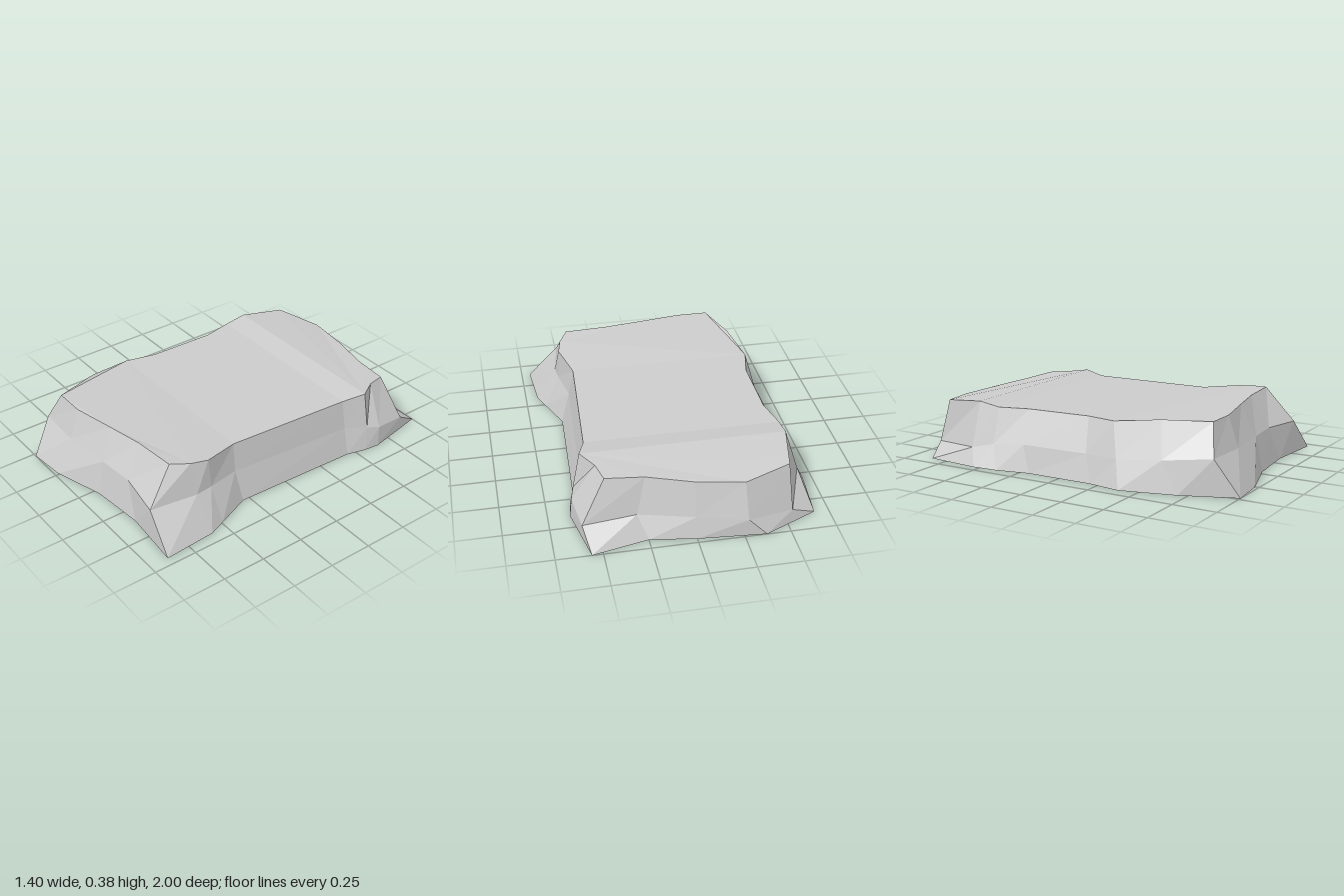
import * as THREE from 'three';

// Outlines run from the front right corner around the front, left, back and right.
const TOP = [ // x, z
  [-.44, .82], [-.26, .82], [0, .77], [.22, .73], [.47, .71], [.52, .61], [.54, .51], [.48, .30],
  [.52, -.45], [.56, -.58], [.49, -.69], [.46, -.80], [.25, -.82], [0, -.89], [-.26, -.93], [-.52, -.84],
  [-.57, -.58], [-.57, -.45], [-.53, -.27], [-.53, .12], [-.57, .30], [-.52, .56],
];
const MIDDLE = [ // x, y, z
  [-.53, .20, .87], [-.26, .20, .88], [.03, .20, .85], [.25, .20, .83], [.52, .19, .87], [.56, .19, .60],
  [.55, .19, .50], [.51, .18, .31], [.55, .16, -.45], [.60, .14, -.58], [.62, .12, -.66], [.59, .09, -.86],
  [.30, .12, -.86], [0, .12, -.94], [-.27, .10, -.99], [-.53, .07, -.91], [-.65, .10, -.58], [-.63, .13, -.45],
  [-.62, .15, -.25], [-.61, .15, .15], [-.63, .15, .35], [-.59, .17, .60],
];
const BASE = [ // x, z
  [-.48, 1], [-.26, .98], [.04, .89], [.35, .86], [.70, .89], [.68, .59], [.64, .49], [.56, .29],
  [.59, -.45], [.62, -.56], [.63, -.65], [.56, -1], [.25, -.93], [0, -.97], [-.37, -1], [-.67, -.86],
  [-.70, -.54], [-.69, -.39], [-.65, -.20], [-.65, .20], [-.68, .39], [-.60, .70],
];

// Height of the top surface along its length: z, y
const HEIGHTS = [[-.93, .30], [-.80, .33], [-.58, .35], [-.45, .33], [.30, .34], [.71, .385], [.82, .372]];

function topHeight(z) {
  for (let i = 1; i < HEIGHTS.length; i++) {
    const [z0, y0] = HEIGHTS[i - 1], [z1, y1] = HEIGHTS[i];
    if (z <= z1) return THREE.MathUtils.mapLinear(z, z0, z1, y0, y1);
  }
  return HEIGHTS[HEIGHTS.length - 1][1];
}

// Fill a counter-clockwise outline (seen from above) with upward triangles.
function fill(ring) {
  const flat = ring.map(([x, , z]) => new THREE.Vector2(x, -z));
  return THREE.ShapeUtils.triangulateShape(flat, []).flatMap((t) => t.map((i) => ring[i]));
}

// Band of faces between a lower and an upper ring.
function band(low, high) {
  return low.flatMap((a, i) => {
    const j = (i + 1) % low.length;
    return [a, low[j], high[j], a, high[j], high[i]];
  });
}

export function createModel() {
  const group = new THREE.Group();
  group.name = 'rockSlab';
  const material = new THREE.MeshStandardMaterial({ color: 0xcccccc, flatShading: true });

  const add = (name, points) => {
    const geometry = new THREE.BufferGeometry();
    geometry.setAttribute('position', new THREE.Float32BufferAttribute(points.flat(), 3));
    geometry.computeVertexNormals();
    const mesh = new THREE.Mesh(geometry, material);
    mesh.name = name;
    group.add(mesh);
  };

  const top = TOP.map(([x, z]) => [x, topHeight(z), z]);
  const base = BASE.map(([x, z]) => [x, 0, z]);

  // Top surface, in four patches that meet at creases across the slab
  const patches = [
    [...top.slice(20), ...top.slice(0, 8)],
    [...top.slice(7, 9), ...top.slice(17, 21)],
    [...top.slice(8, 10), ...top.slice(16, 18)],
    top.slice(9, 17),
  ];
  add('topSurface', patches.flatMap(fill));

  // Rough sloping sides
  add('upperSides', band(MIDDLE, top));
  add('lowerSides', band(base, MIDDLE));

  // Flat underside, facing down
  add('underside', fill(base).reverse());
  return group;
}
